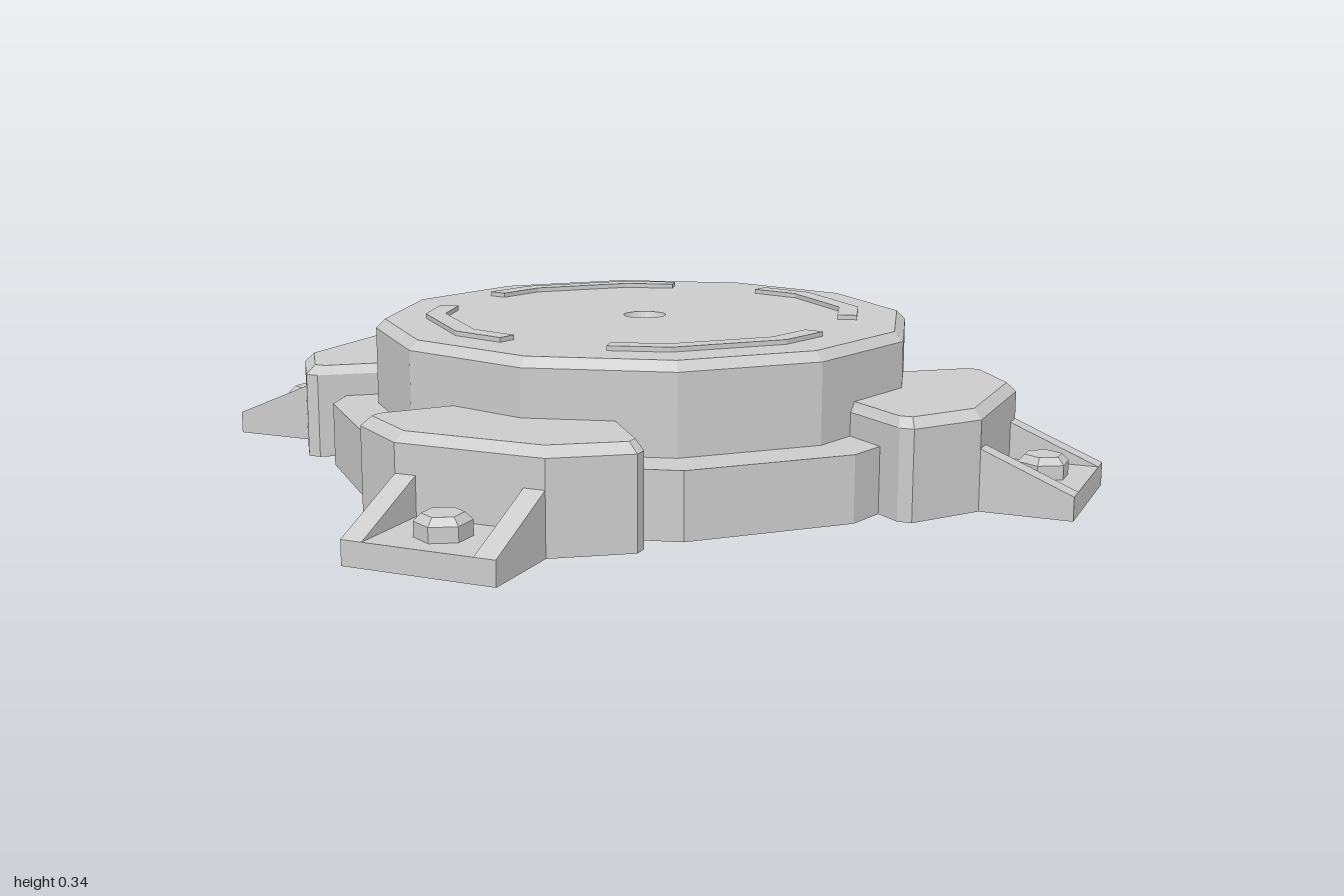
import * as THREE from 'three';

const material = new THREE.MeshStandardMaterial({ color: 0xcccccc, flatShading: true });

function addPart(parent, name, geometry, x = 0, y = 0, z = 0) {
  const mesh = new THREE.Mesh(geometry, material);
  mesh.name = name;
  mesh.position.set(x, y, z);
  parent.add(mesh);
  return mesh;
}

const toShape = (points) => new THREE.Shape(points.map(([x, y]) => new THREE.Vector2(x, y)));

// Regular 12-sided outline with corners on the axes
const dodecagon = (r) =>
  Array.from({ length: 12 }, (_, i) => [r * Math.cos((i * Math.PI) / 6), r * Math.sin((i * Math.PI) / 6)]);

// Upright prism with levels y0, y1, y2; narrow(x, y) pulls in the top outline to form a chamfer
function chamferedPrism(shape, levels, narrow) {
  const geometry = new THREE.ExtrudeGeometry(shape, { depth: 2, steps: 2, bevelEnabled: false, curveSegments: 16 });
  const pos = geometry.attributes.position;
  for (let i = 0; i < pos.count; i++) {
    const level = Math.round(pos.getZ(i));
    let x = pos.getX(i), y = pos.getY(i);
    if (level === 2) [x, y] = narrow(x, y);
    pos.setXYZ(i, x, y, levels[level]);
  }
  geometry.rotateX(-Math.PI / 2);
  geometry.computeVertexNormals();
  return geometry;
}

export function createModel() {
  const model = new THREE.Group();
  model.name = 'platform';

  // Wide lower plinth
  addPart(model, 'base', new THREE.CylinderGeometry(0.7, 0.7, 0.14, 12), 0, 0.07, 0);

  // Main disc with chamfered rim and a countersunk centre hole
  const discShape = toShape(dodecagon(0.6));
  discShape.holes.push(new THREE.Path().absarc(0, 0, 0.04, 0, Math.PI * 2, true));
  addPart(model, 'disc', chamferedPrism(discShape, [0.1, 0.31, 0.33], (x, y) => {
    const s = Math.hypot(x, y) < 0.1 ? 1.18 : 0.967;
    return [x * s, y * s];
  }));
  addPart(model, 'holeFloor', new THREE.CylinderGeometry(0.042, 0.042, 0.02, 32), 0, 0.26, 0);

  // Raised bent strip, one per quadrant
  const strip = new THREE.ExtrudeGeometry(
    toShape([[0.46, 0.12], [0.424, 0.245], [0.245, 0.424], [0.12, 0.46],
      [0.11, 0.418], [0.223, 0.386], [0.386, 0.223], [0.418, 0.11]]),
    { depth: 0.015, bevelEnabled: false }
  ).rotateX(-Math.PI / 2);

  // Clamp block that grips the disc
  const clamp = chamferedPrism(
    toShape([[-0.12, 0.45], [0.12, 0.45], [0.3, 0.68], [0.3, 0.71],
      [0.16, 0.81], [-0.16, 0.81], [-0.3, 0.71], [-0.3, 0.68]]),
    [0, 0.19, 0.21],
    (x, y) => [x * 0.93, 0.6 + (y - 0.6) * 0.91]
  );

  // Sloping side wall of a foot
  const gusset = new THREE.ExtrudeGeometry(
    toShape([[0.75, 0], [1, 0], [1, 0.05], [0.81, 0.13], [0.75, 0.13]]),
    { depth: 0.045, bevelEnabled: false }
  ).rotateY(Math.PI / 2);

  for (let i = 0; i < 4; i++) {
    const angle = (i * Math.PI) / 2;
    const arm = new THREE.Group();
    arm.name = 'arm' + (i + 1);
    arm.rotation.y = angle;
    model.add(arm);

    addPart(arm, 'strip', strip, 0, 0.325, 0);
    addPart(arm, 'clamp', clamp);
    addPart(arm, 'footPlate', new THREE.BoxGeometry(0.32, 0.05, 0.25), 0, 0.025, -0.875);
    for (const x of [-0.16, 0.115]) addPart(arm, 'gusset', gusset, x, 0, 0);

    // Hexagonal bolt with a tapered top; all bolts point the same way
    const bolt = new THREE.Group();
    bolt.name = 'bolt';
    bolt.position.set(0, 0.05, -0.905);
    bolt.rotation.y = -angle;
    arm.add(bolt);
    addPart(bolt, 'boltHead', new THREE.CylinderGeometry(0.055, 0.055, 0.03, 6), 0, 0.015, 0);
    addPart(bolt, 'boltTop', new THREE.CylinderGeometry(0.04, 0.055, 0.015, 6), 0, 0.0375, 0);
  }

  return model;
}

// Gusset outlines run outward along -z after their quarter turn, like the clamps and plates.
